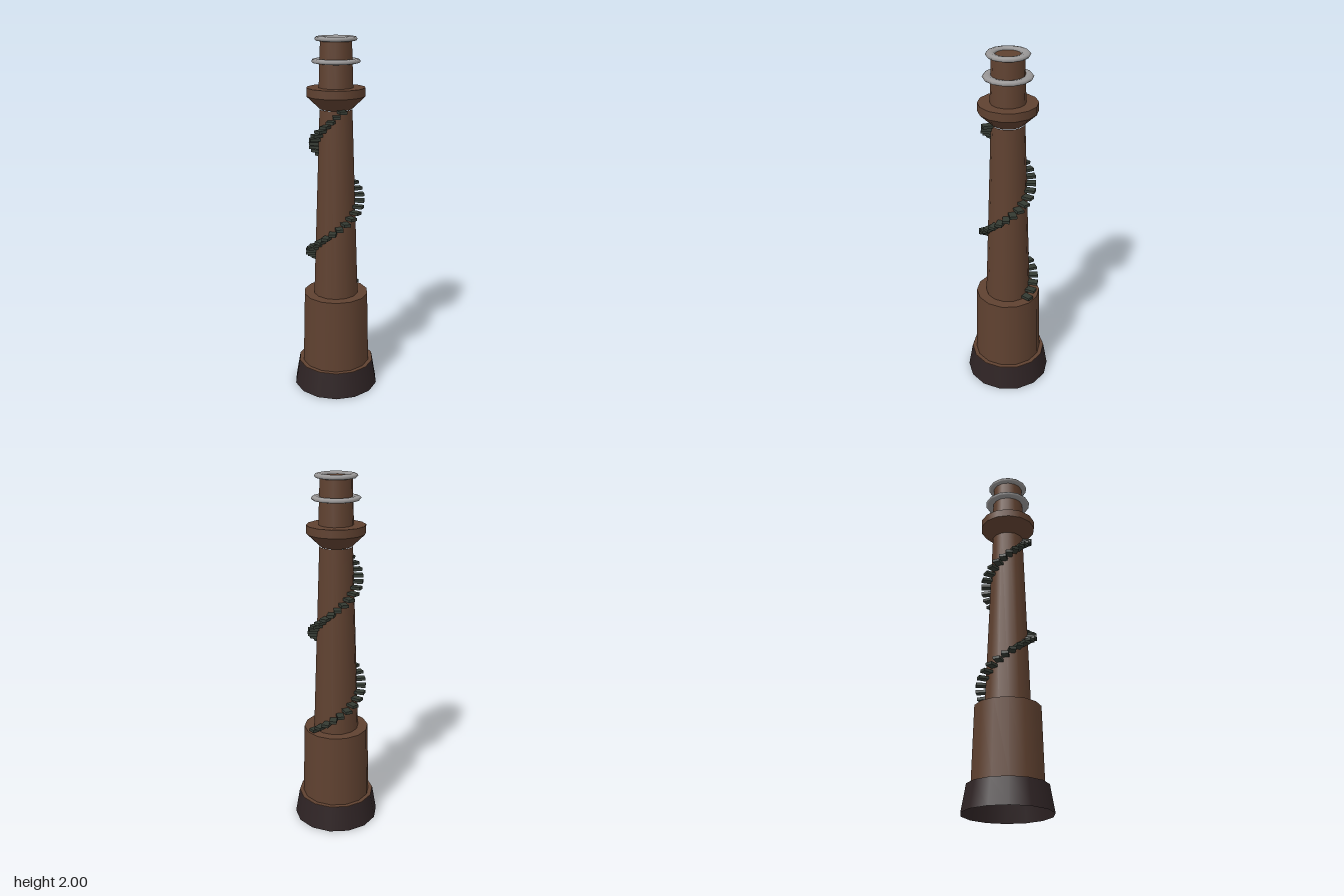
import * as THREE from 'three';
import { mergeGeometries } from 'three/addons/utils/BufferGeometryUtils.js';

const SIDES = 14;

export function createModel() {
  const tower = new THREE.Group();
  tower.name = 'lighthouseTower';

  const material = (name, color, side = THREE.FrontSide) => {
    const m = new THREE.MeshStandardMaterial({ color, side });
    m.name = name;
    return m;
  };
  const brown = material('brown', 0x5f4130);
  const darkBase = material('darkBase', 0x2e2324, THREE.DoubleSide);
  const grey = material('grey', 0x999797);
  const darkGreen = material('darkGreen', 0x343a32);

  const add = (name, geometry, mat) => {
    const mesh = new THREE.Mesh(geometry, mat);
    mesh.name = name;
    tower.add(mesh);
    return mesh;
  };

  // Turned part: round walls are smooth, every profile corner stays sharp
  const turned = (name, profile, mat) => {
    const bands = [];
    for (let i = 0; i + 1 < profile.length; i++) {
      const points = [profile[i], profile[i + 1]].map(([r, y]) => new THREE.Vector2(r, y));
      bands.push(new THREE.LatheGeometry(points, SIDES).rotateY(Math.PI / 2));
    }
    return add(name, mergeGeometries(bands), mat);
  };

  // Hollow foot and stacked tower sections
  turned('footSkirt', [[0.243, 0], [0.218, 0.145]], darkBase);
  turned('lowerSection', [[0, 0.138], [0.217, 0.138], [0.217, 0.147], [0.194, 0.147], [0.183, 0.567], [0.12, 0.567]], brown);
  turned('shaft', [[0.127, 0.567], [0.09, 1.62]], brown);
  turned('gallery', [[0.085, 1.62], [0.159, 1.69], [0.159, 1.735], [0.085, 1.735]], brown);
  turned('neck', [[0.094, 1.735], [0.085, 1.987], [0, 1.987]], brown);

  // Flattened rings around the neck
  for (const [name, radius, y] of [['middleRing', 0.107, 1.873], ['topRing', 0.09, 1.987]]) {
    const ring = new THREE.TorusGeometry(radius, 0.025, 8, SIDES);
    add(name, ring.rotateX(Math.PI / 2).scale(1, 0.52, 1), grey).position.y = y;
  }

  // Spiral stair: treads wind from the back round the right side, following the taper
  const stair = new THREE.Group();
  stair.name = 'spiralStair';
  tower.add(stair);
  const treadGeometry = new THREE.BoxGeometry(0.04, 0.016, 0.06);
  const treads = 40;
  for (let i = 0; i < treads; i++) {
    const t = i / (treads - 1);
    const y = 0.583 + t * 1.035;
    const shaftRadius = 0.127 - 0.037 * (y - 0.567) / 1.053;
    const angle = THREE.MathUtils.degToRad(175 + t * 600);
    const r = shaftRadius + 0.02;
    const tread = new THREE.Mesh(treadGeometry, darkGreen);
    tread.name = 'tread';
    tread.position.set(Math.sin(angle) * r, y, Math.cos(angle) * r);
    tread.rotation.y = angle;
    stair.add(tread);
  }

  return tower;
}
